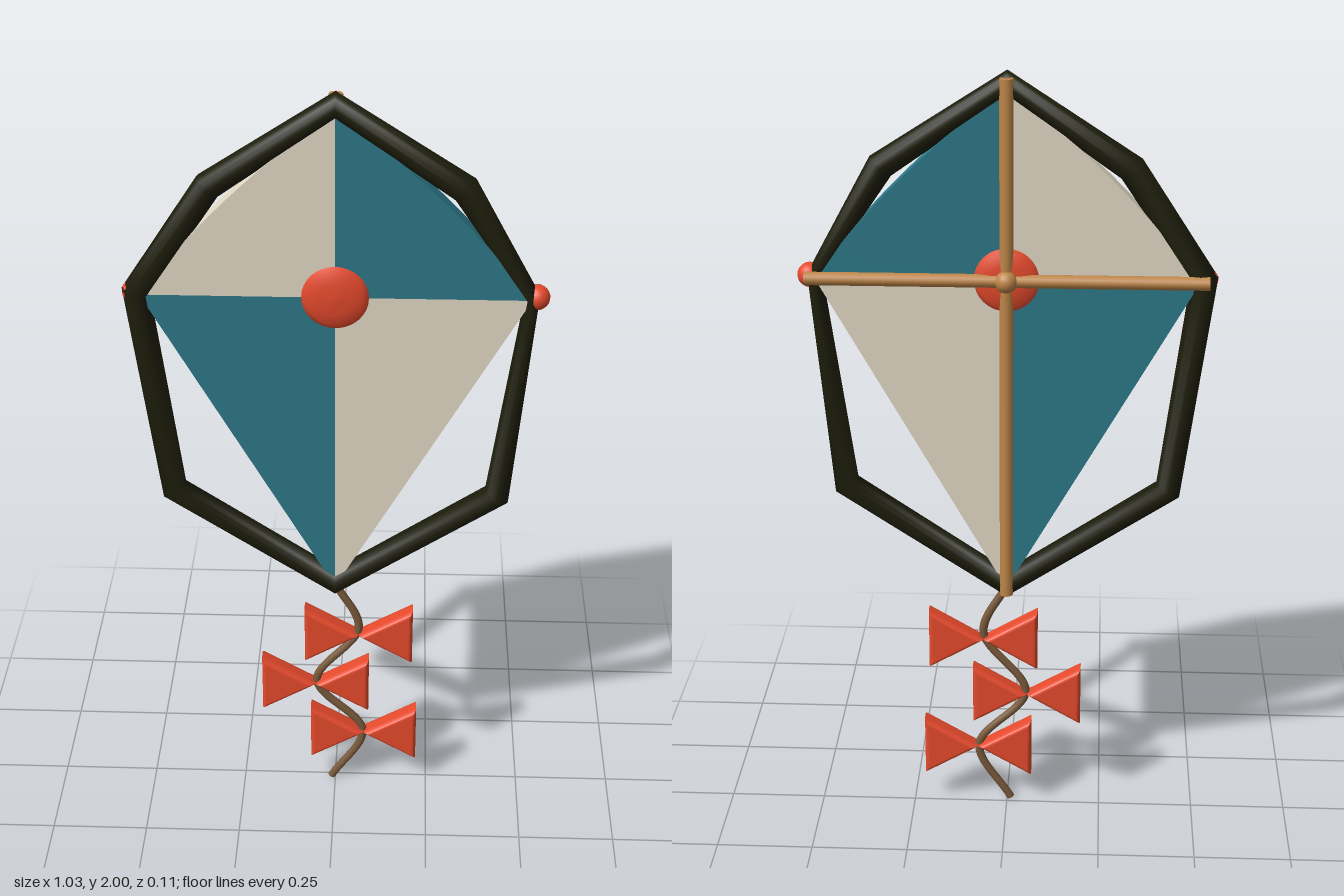
import * as THREE from 'three';

const mat = (name, color) => {
  const m = new THREE.MeshStandardMaterial({ color });
  m.name = name;
  return m;
};

// Closed tube through flat corner points [x, y, flat scale, depth scale], with mitred rings
function ringTube(points, z, radius, sides) {
  const n = points.length, pos = [], index = [];
  points.forEach(([x, y, flat = 1, deep = 1], i) => {
    const a = points[(i + n - 1) % n], b = points[(i + 1) % n];
    const t = new THREE.Vector2(x - a[0], y - a[1]).normalize()
      .add(new THREE.Vector2(b[0] - x, b[1] - y).normalize()).normalize();
    for (let j = 0; j < sides; j++) {
      const u = (j / sides) * Math.PI * 2, c = Math.cos(u) * radius * flat;
      // points run counter-clockwise, so the right of the tangent is outward
      pos.push(x + t.y * c, y - t.x * c, z + Math.sin(u) * radius * deep);
      const p = i * sides + j, q = i * sides + (j + 1) % sides;
      const r = ((i + 1) % n) * sides + j, s = ((i + 1) % n) * sides + (j + 1) % sides;
      index.push(p, r, q, q, r, s);
    }
  });
  const g = new THREE.BufferGeometry();
  g.setAttribute('position', new THREE.Float32BufferAttribute(pos, 3));
  g.setIndex(index);
  g.computeVertexNormals();
  return g;
}

export function createModel() {
  const group = new THREE.Group();
  const dark = mat('dark frame', 0x1d1d0b), teal = mat('teal cloth', 0x2c7888);
  const cream = mat('cream cloth', 0xe2d9c5), red = mat('red', 0xe64a2c);
  const wood = mat('wood', 0xbe8648), cord = mat('brown cord', 0x7a5a3c);
  const add = (name, geometry, material, x = 0, y = 0, z = 0) => {
    const m = new THREE.Mesh(geometry, material);
    m.name = name;
    m.position.set(x, y, z);
    group.add(m);
    return m;
  };

  // Outer frame, pinched where its ends join at the left tip
  const corners = [[0, 1.968, 0.9], [-0.3, 1.765], [-0.482, 1.49], [-0.41, 0.932],
    [0, 0.658], [0.41, 0.932], [0.473, 1.49, 0.55, 0.85], [0.305, 1.765]];
  add('frame', ringTube(corners, 0.012, 0.035, 16), dark);

  // Four sail panels meeting at the spar crossing
  for (const sx of [-1, 1]) {
    const upper = new THREE.Shape();
    upper.moveTo(0, 1.49);
    upper.lineTo(0.472 * sx, 1.49);
    upper.quadraticCurveTo(0.275 * sx, 1.755, 0, 1.96);
    const lower = new THREE.Shape();
    lower.moveTo(0, 1.49);
    lower.lineTo(0.472 * sx, 1.49);
    lower.lineTo(0, 0.655);
    const opts = { depth: 0.047, bevelEnabled: false, curveSegments: 12 };
    add('upperSail', new THREE.ExtrudeGeometry(upper, opts), sx > 0 ? teal : cream, 0, 0, -0.013);
    add('lowerSail', new THREE.ExtrudeGeometry(lower, opts), sx > 0 ? cream : teal, 0, 0, -0.013);
  }

  // Wooden spars with a knot at the crossing
  add('verticalSpar', new THREE.CylinderGeometry(0.017, 0.017, 1.345, 12), wood, 0, 1.3125, -0.018);
  add('crossSpar', new THREE.CylinderGeometry(0.017, 0.017, 0.99, 12), wood, 0, 1.49, -0.02)
    .rotation.z = Math.PI / 2;
  add('knot', new THREE.SphereGeometry(0.028, 16, 12), wood, 0, 1.49, -0.027);

  // Domed centre medallion, showing on both faces
  const dome = [[0, -0.041], [0.04, -0.0385], [0.068, -0.032], [0.083, -0.022], [0.087, 0],
    [0.083, 0.022], [0.068, 0.032], [0.04, 0.0385], [0, 0.041]];
  add('medallion', new THREE.LatheGeometry(dome.map(([r, h]) => new THREE.Vector2(r, h)), 32), red, 0, 1.49, 0.011)
    .rotation.x = Math.PI / 2;

  // Beads on the spar tips
  for (const sx of [-1, 1]) {
    add('tipBead', new THREE.SphereGeometry(0.031, 20, 14), red, 0.485 * sx, 1.49, 0.013);
  }

  // Wavy tail
  const path = new THREE.CatmullRomCurve3([[0, 0.65], [0.062, 0.51], [-0.05, 0.335], [0.075, 0.17], [-0.01, 0.008]]
    .map(([x, y]) => new THREE.Vector3(x, y, 0.015)));
  add('tail', new THREE.TubeGeometry(path, 60, 0.011, 8), cord);

  // Bows along the tail, each of two soft-edged triangles
  const wing = new THREE.Shape([[0.02, 0], [0.133, -0.066], [0.133, 0.066]]
    .map(([x, y]) => new THREE.Vector2(x, y)));
  const wingGeometry = new THREE.ExtrudeGeometry(wing, {
    depth: 0.022, bevelThickness: 0.016, bevelSize: 0.014, bevelSegments: 4,
  });
  wingGeometry.translate(0, 0, -0.011);
  for (const [x, y] of [[0.062, 0.495], [-0.053, 0.333], [0.077, 0.172]]) {
    for (const turn of [0, Math.PI]) {
      add('bowWing', wingGeometry, red, x, y, 0.015).rotation.z = turn;
    }
  }
  return group;
}
